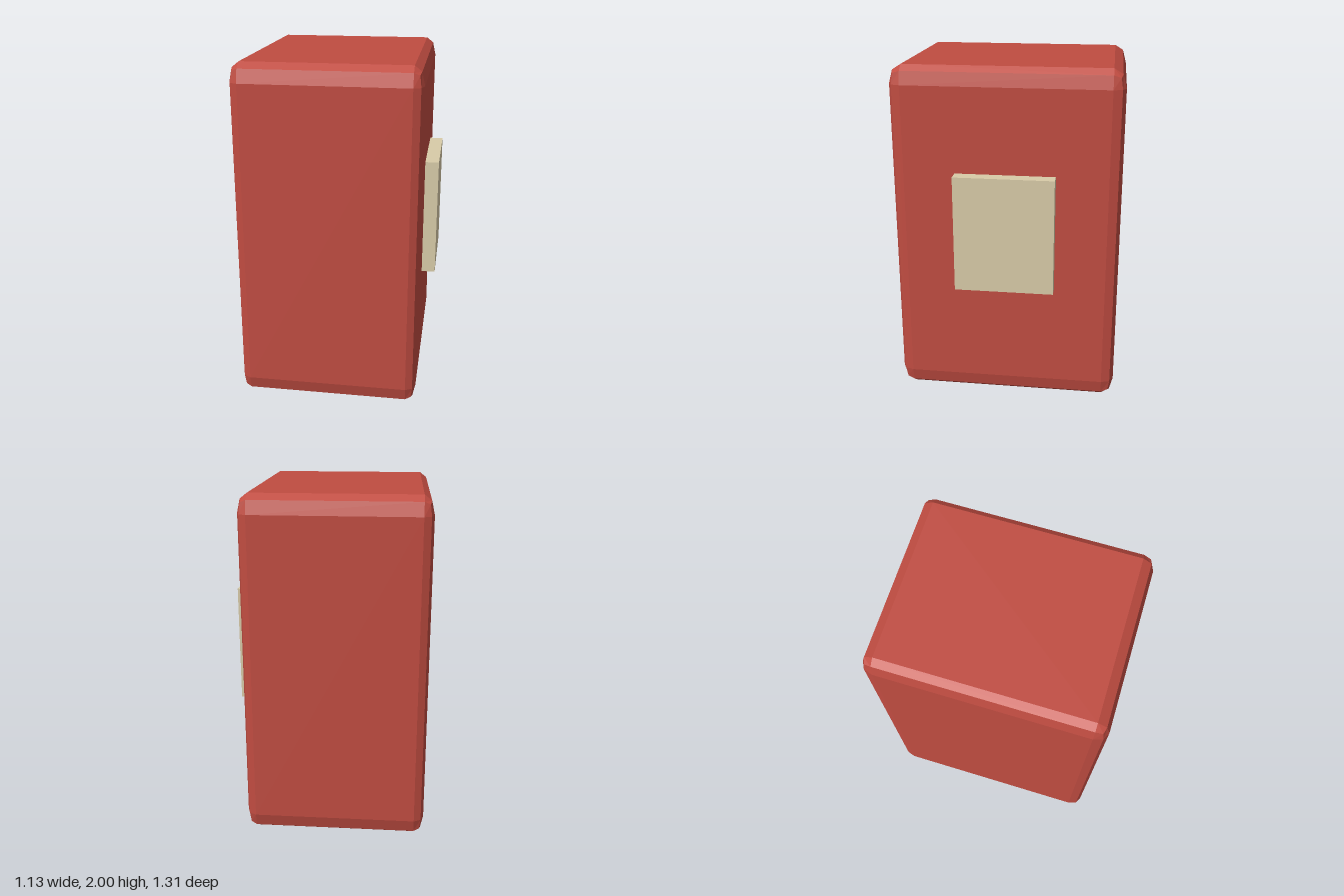
import * as THREE from 'three';
import { RoundedBoxGeometry } from 'three/addons/geometries/RoundedBoxGeometry.js';

export function createModel() {
  const group = new THREE.Group();

  // Main block: a bevelled unit cube stretched, so the bevel stretches with it
  const body = new THREE.Mesh(
    new RoundedBoxGeometry(1, 1, 1, 1, 0.054).scale(1.05, 2, 1.31),
    new THREE.MeshStandardMaterial({ color: 0xc04c41, flatShading: true })
  );
  body.name = 'body';
  body.position.set(-0.04, 1, 0);
  group.add(body);

  // Pale plate standing proud of the +x side, slightly sunk into the body
  const plate = new THREE.Mesh(
    new THREE.BoxGeometry(0.095, 0.685, 0.575),
    new THREE.MeshStandardMaterial({ color: 0xd8cba8, flatShading: true })
  );
  plate.name = 'sidePlate';
  plate.position.set(0.5155, 1.057, 0);
  group.add(plate);

  return group;
}
